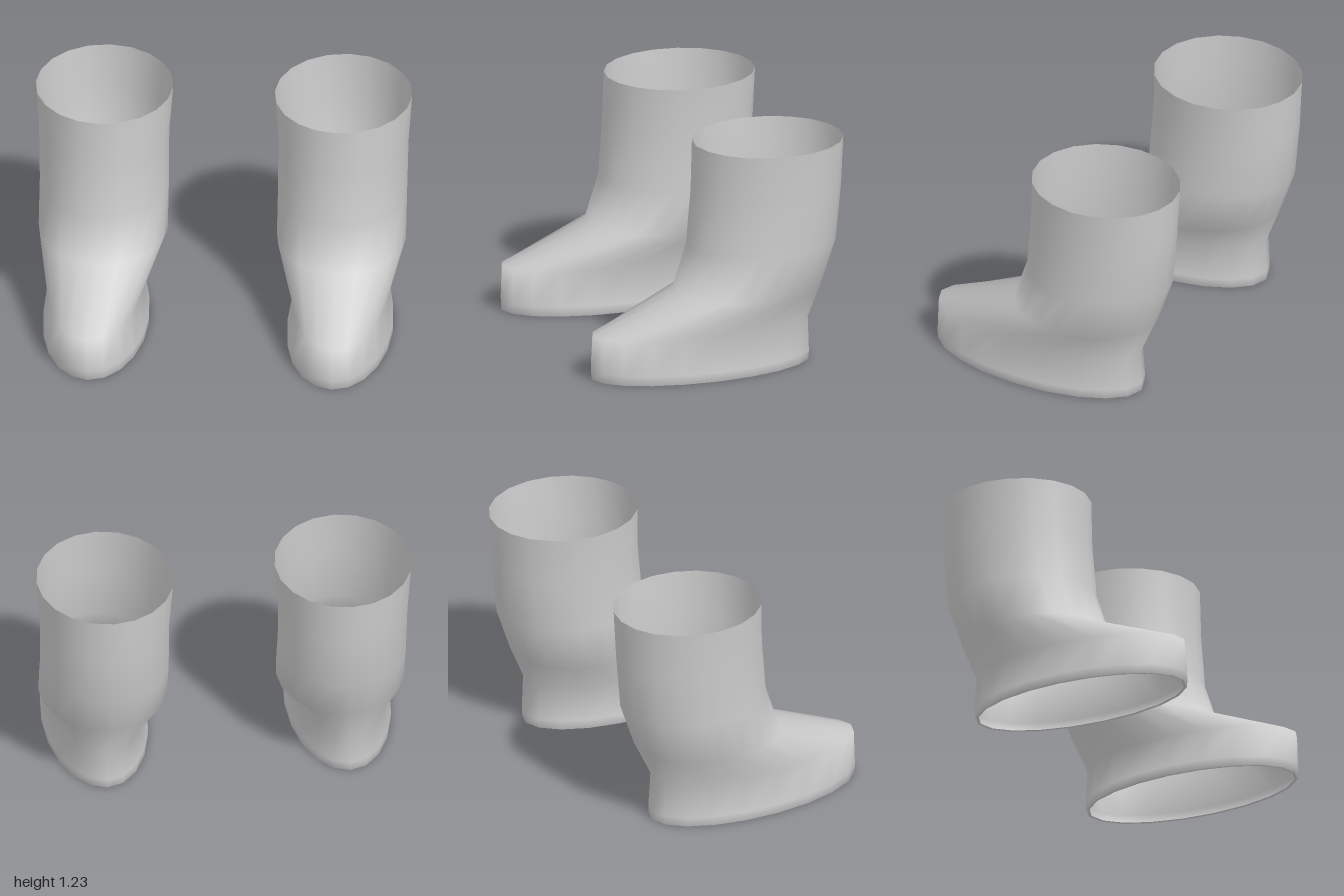
import * as THREE from 'three';

const SIDES = 20;

// Elliptical rings of one boot: [height, centre x, half width, front z, back z]
const RINGS = [
  [0.0, 0.648, 0.262, 0.69, -0.505],  // inner edge of the turned-in sole lip
  [0.0, 0.648, 0.28, 0.708, -0.523],
  [0.05, 0.648, 0.28, 0.71, -0.525],
  [0.24, 0.652, 0.252, 0.705, -0.52], // top of toe, pinch above heel
  [0.42, 0.633, 0.343, 0.222, -0.585],// instep
  [0.66, 0.633, 0.343, 0.143, -0.668],// ankle
  [0.96, 0.636, 0.346, 0.118, -0.695],
  [1.225, 0.635, 0.365, 0.108, -0.706],// open cuff
];

// Lofts the rings into a smooth open shell; side is +1 (left) or -1 (right)
function bootGeometry(side) {
  const positions = [], index = [];
  for (const [y, cx, halfWidth, front, back] of RINGS) {
    for (let i = 0; i < SIDES; i++) {
      const a = (i / SIDES) * Math.PI * 2;
      positions.push(
        side * cx + Math.sin(a) * halfWidth,
        y,
        (front + back) / 2 + Math.cos(a) * (front - back) / 2
      );
    }
  }
  for (let r = 0; r < RINGS.length - 1; r++) {
    for (let i = 0; i < SIDES; i++) {
      const j = (i + 1) % SIDES;
      const a = r * SIDES + i, b = r * SIDES + j;
      index.push(a, b, b + SIDES, a, b + SIDES, a + SIDES);
    }
  }
  const geometry = new THREE.BufferGeometry();
  geometry.setAttribute('position', new THREE.Float32BufferAttribute(positions, 3));
  geometry.setIndex(index);
  geometry.computeVertexNormals();
  return geometry;
}

export function createModel() {
  const group = new THREE.Group();
  group.name = 'boots';
  const grey = new THREE.MeshStandardMaterial({ color: 0xcccccc, side: THREE.DoubleSide });
  grey.name = 'light grey';

  for (const side of [1, -1]) {
    const boot = new THREE.Mesh(bootGeometry(side), grey);
    boot.name = side > 0 ? 'leftBoot' : 'rightBoot';
    group.add(boot);
  }
  return group;
}
